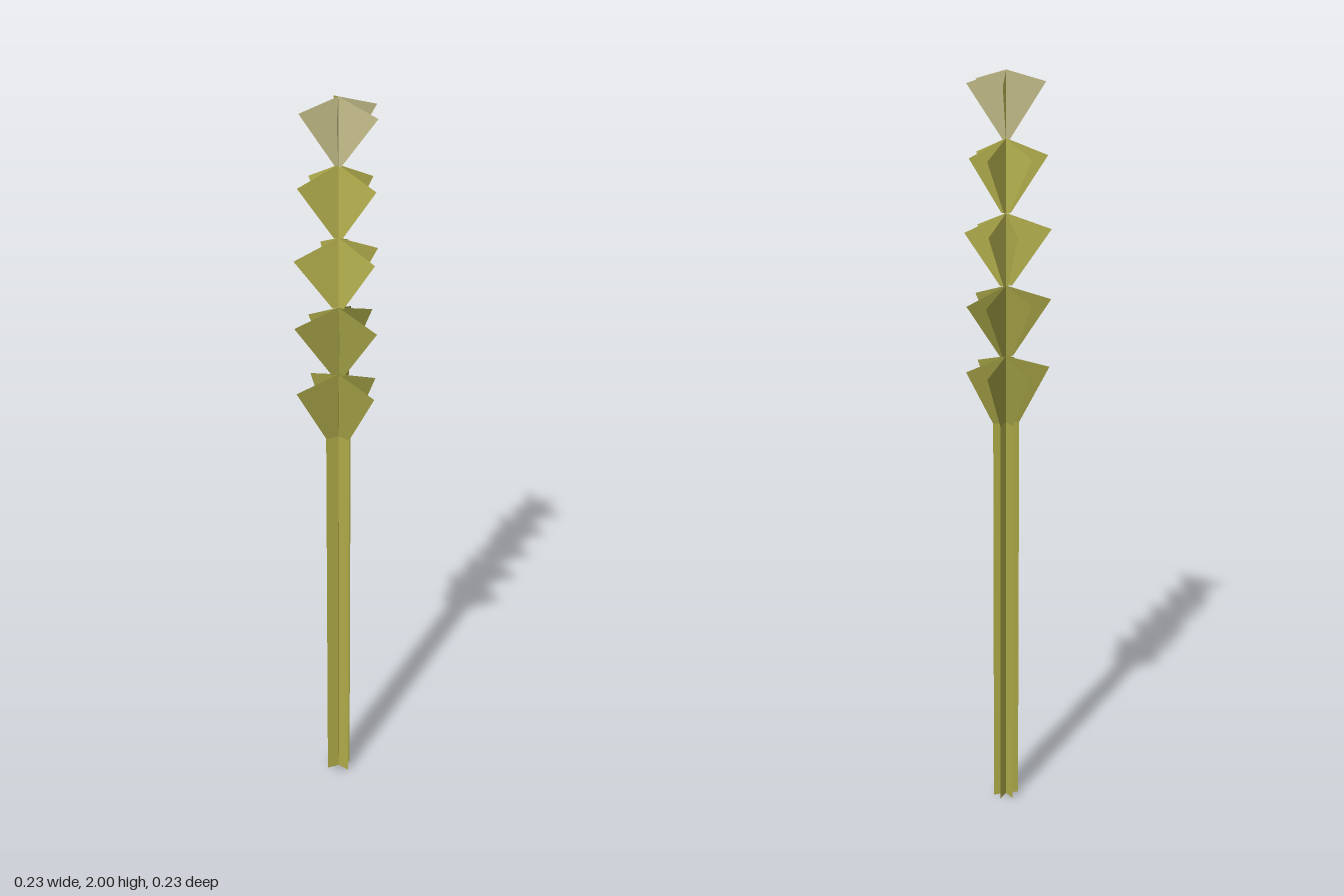
import * as THREE from 'three';

const RAD = Math.PI / 180;
const CENTRE = [-0.005, -0.007];

// one flat radial blade: profile points are [distance from axis, height]
function blade(name, profile, azimuth, color) {
  const shape = new THREE.Shape(profile.map(([r, y]) => new THREE.Vector2(r, y)));
  const material = new THREE.MeshStandardMaterial({ color, side: THREE.DoubleSide, flatShading: true });
  const mesh = new THREE.Mesh(new THREE.ShapeGeometry(shape), material);
  mesh.name = name;
  mesh.position.set(CENTRE[0], 0, CENTRE[1]);
  mesh.rotation.y = -azimuth * RAD;
  return mesh;
}

// azimuths run from +x towards +z; reach is the tip radius of each leaf
const TIERS = [
  { y0: 1.10, tip: 1.245, y1: 1.28, base: 0.035, color: 0x9c9a42,
    azimuths: [13, 80, 131, 198, 267, 325], reach: [0.107, 0.117, 0.115, 0.115, 0.107, 0.11] },
  { y0: 1.28, tip: 1.425, y1: 1.465, base: 0.018, color: 0x9c9a42,
    azimuths: [-3, 78, 129, 200, 252, 328], reach: [0.118, 0.12, 0.12, 0.117, 0.09, 0.105] },
  { y0: 1.465, tip: 1.605, y1: 1.65, base: 0.016, color: 0xb8b450,
    azimuths: [15, 79, 130, 199, 283, 324], reach: [0.108, 0.113, 0.112, 0.117, 0.1, 0.105] },
  { y0: 1.65, tip: 1.79, y1: 1.835, base: 0.012, color: 0xb8b450,
    azimuths: [11, 77, 130, 197, 254, 327], reach: [0.097, 0.112, 0.112, 0.107, 0.088, 0.1] },
  { y0: 1.83, tip: 1.97, y1: 2.0, base: 0.008, color: 0xc8c08c,
    azimuths: [16, 80, 132, 198, 304], reach: [0.1, 0.12, 0.108, 0.1, 0.108] },
];

export function createModel() {
  const model = new THREE.Group();
  model.name = 'grainStalk';

  // stem of upright fins
  const stem = new THREE.Group();
  stem.name = 'stem';
  for (const a of TIERS[0].azimuths) {
    stem.add(blade('stemFin', [[0, 0], [0.035, 0], [0.035, 1.1], [0, 1.1]], a, 0xaeaa48));
  }
  model.add(stem);

  // tiers of kite-like leaves up the ear
  TIERS.forEach((t, i) => {
    const tier = new THREE.Group();
    tier.name = `leafTier${i + 1}`;
    t.azimuths.forEach((a, k) => {
      const profile = [[0, t.y0], [t.base, t.y0], [t.reach[k], t.tip], [0, t.y1]];
      const color = i === 4 && k === 4 ? 0xb8b450 : t.color;
      tier.add(blade('leaf', profile, a, color));
    });
    model.add(tier);
  });
  return model;
}
